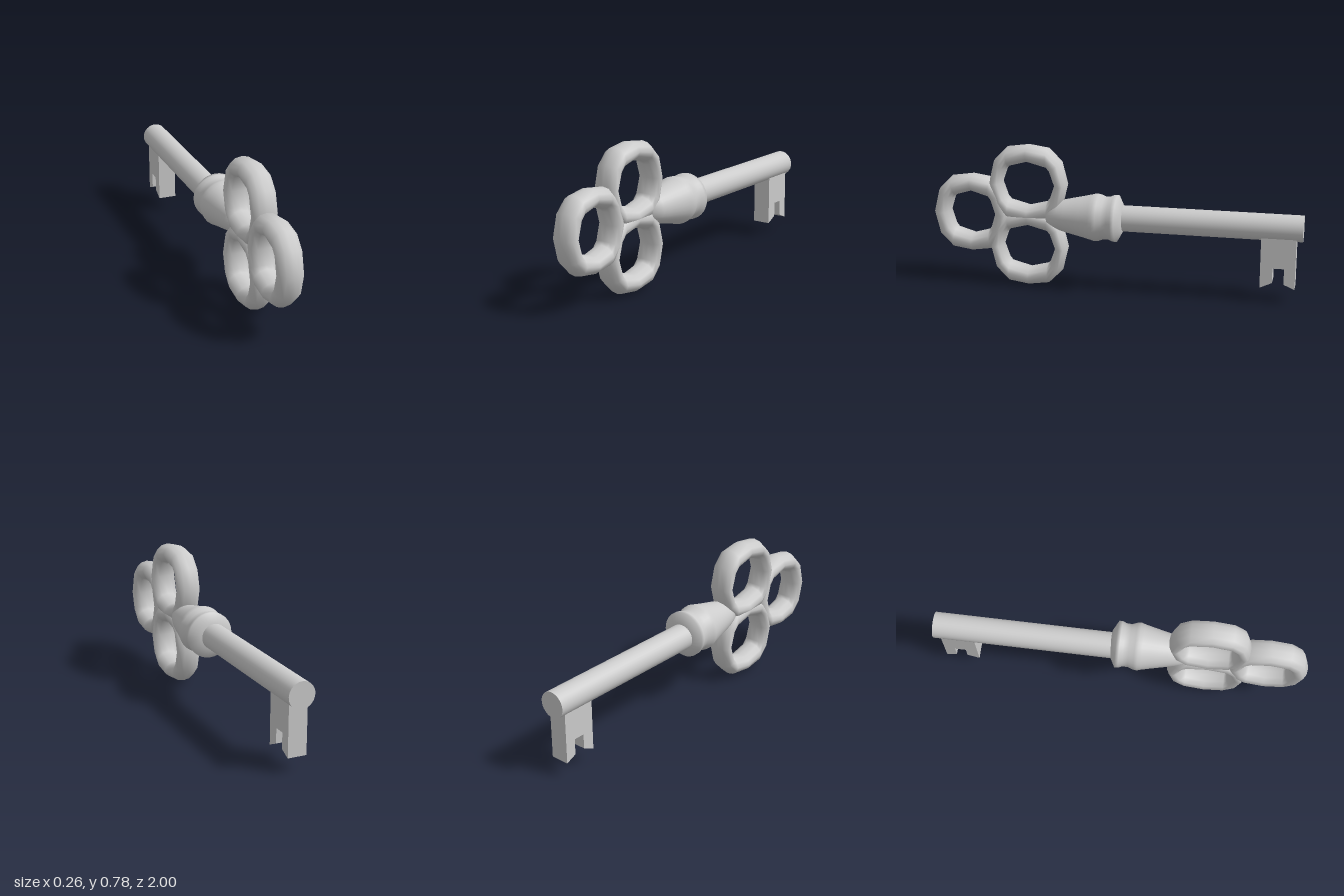
import * as THREE from 'three';

const CX = -0.01; // plane of bow rings, shaft and bit
const AXIS_Y = 0.4;
const mat = new THREE.MeshStandardMaterial({ color: 0xcccccc });

function add(group, name, geometry) {
  const mesh = new THREE.Mesh(geometry, mat);
  mesh.name = name;
  group.add(mesh);
  return mesh;
}

// Mirrors one quadrant of [u, v] points into a closed 12-point loop
function mirrorLoop(q) {
  const half = [...q, ...q.slice(0, -1).reverse().map(([u, v]) => [-u, v])];
  return [...half, ...half.slice(1, -1).reverse().map(([u, v]) => [u, -v])];
}

// Rounded-square ring: an oval section swept between an inner and an outer loop
function ringGeometry(holeScale) {
  const outer = mirrorLoop([[0.215, 0], [0.185, 0.125], [0.11, 0.2], [0, 0.215]]);
  const inner = mirrorLoop([[0.145, 0], [0.118, 0.075], [0.105, 0.092], [0, 0.12]]);
  const n = outer.length, m = 12, pos = [], index = [];
  for (let i = 0; i < n; i++) {
    const [ou, ov] = outer[i], iu = inner[i][0] * holeScale, iv = inner[i][1];
    for (let j = 0; j < m; j++) {
      const a = (j / m) * Math.PI * 2, k = (1 + Math.cos(a)) / 2;
      pos.push(0.07 * Math.sin(a), iv + (ov - iv) * k, iu + (ou - iu) * k);
      const i2 = (i + 1) % n, j2 = (j + 1) % m;
      const p = i * m + j, q = i * m + j2, r = i2 * m + j2, s = i2 * m + j;
      index.push(p, q, s, q, r, s);
    }
  }
  const g = new THREE.BufferGeometry();
  g.setAttribute('position', new THREE.Float32BufferAttribute(pos, 3));
  g.setIndex(index);
  g.computeVertexNormals();
  return g;
}

export function createModel() {
  const key = new THREE.Group();
  key.name = 'key';

  // Bow: three overlapping rings
  const bow = new THREE.Group();
  bow.name = 'bow';
  key.add(bow);
  for (const [name, y, z, holeScale] of [
    ['upperRing', 0.565, 0.47, 1],
    ['lowerRing', 0.215, 0.47, 1],
    ['endRing', 0.39, 0.785, 0.88],
  ]) add(bow, name, ringGeometry(holeScale)).position.set(CX, y, z);

  // Collar with two beads, tapering into the bow
  const profile = [
    [0, -0.05], [0.07, -0.05], [0.125, -0.02], [0.125, 0], [0.116, 0.02], [0.115, 0.05],
    [0.126, 0.08], [0.128, 0.1], [0.122, 0.12], [0.11, 0.17], [0.09, 0.26], [0.08, 0.3],
    [0.06, 0.36], [0, 0.37],
  ].map(([r, z]) => new THREE.Vector2(r, z));
  add(key, 'collar', new THREE.LatheGeometry(profile, 32).rotateX(Math.PI / 2))
    .position.set(0, AXIS_Y, 0);

  // Shaft
  add(key, 'shaft', new THREE.CylinderGeometry(0.07, 0.07, 1, 32).rotateX(Math.PI / 2))
    .position.set(CX, AXIS_Y, -0.5);

  // Bit: notched plate with slanted prong ends, drawn in (-z, y)
  const bit = new THREE.Shape([
    [0.786, 0.38], [0.786, 0.08], [0.85, 0.11], [0.85, 0.19],
    [0.91, 0.19], [0.91, 0.105], [0.968, 0.08], [0.968, 0.38],
  ].map(([u, v]) => new THREE.Vector2(u, v)));
  const bitGeometry = new THREE.ExtrudeGeometry(bit, { depth: 0.1, bevelEnabled: false })
    .translate(0, 0, -0.05).rotateY(Math.PI / 2);
  add(key, 'bit', bitGeometry).position.x = CX;

  return key;
}
